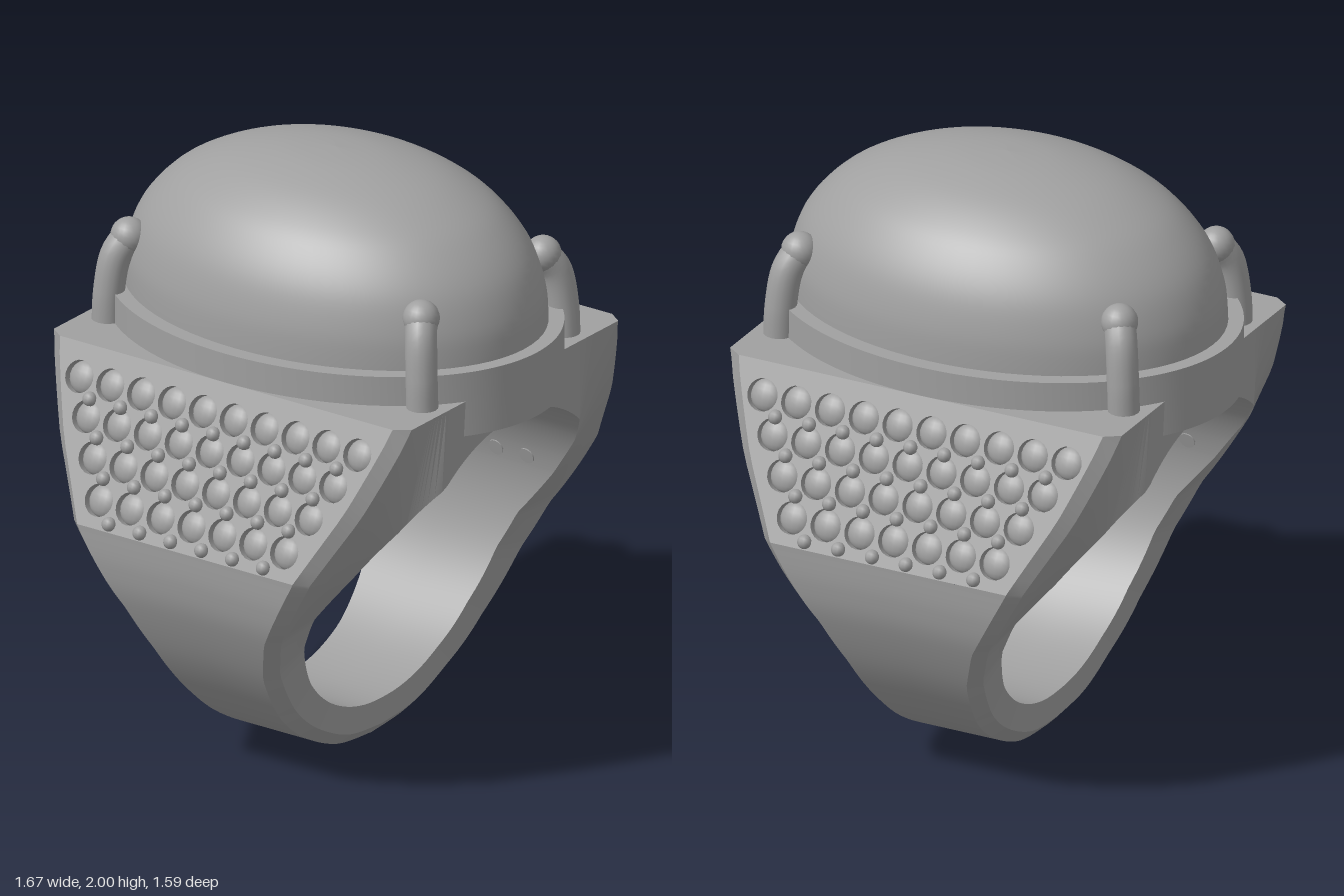
import * as THREE from 'three';
import { mergeGeometries, toCreasedNormals } from 'three/addons/utils/BufferGeometryUtils.js';

const CY = 0.685, R = 0.555;            // finger hole
const TOP = 1.38, BEVEL = 0.04;
const CUT_A = 0.46, CUT_B = 0.66;       // oval opening under the stone
const P = new THREE.Vector2(0.82, 0.86), Q = new THREE.Vector2(0.595, TOP); // flat shoulder line
const rad = THREE.MathUtils.degToRad;

// half width of the band against the angle around the finger hole
const WIDTHS = [[-90, 0.18], [-60, 0.19], [-40, 0.212], [-20, 0.255], [-7, 0.315], [11, 0.46], [30, 0.595], [49, 0.70], [90, 0.715]];
function halfWidth(x, y) {
  const a = THREE.MathUtils.radToDeg(Math.atan2(y - CY, x));
  for (let i = 1; i < WIDTHS.length; i++) {
    const [a0, w0] = WIDTHS[i - 1], [a1, w1] = WIDTHS[i];
    if (a <= a1) return w0 + (w1 - w0) * Math.max(0, (a - a0) / (a1 - a0));
  }
  return 0.715;
}

// one half cross-section: inner edge, inner corner, bevel, outer corner, outer edge
function section(xi, yi, xo, yo, bevel, cut, panel) {
  const wi = halfWidth(xi, yi), wo = bevel ? halfWidth(xo, yo) : 0.71;
  const k = 1 - bevel / Math.hypot(xo, yo - CY);
  return {
    panel, cut,
    pts: [[xi, yi, cut], [xi, yi, wi], [xo * k, CY + (yo - CY) * k, wo], [xo, yo, wo - bevel], [xo, yo, cut]],
  };
}

const PANEL_STEPS = 10;
const panelPoint = i => P.clone().lerp(Q, i / PANEL_STEPS);

function bandGeometry() {
  const sections = [];
  const curve = new THREE.SplineCurve([[0, 0], [0.2, 0.028], [0.4, 0.125], [0.55, 0.25], [0.68, 0.42], [0.775, 0.61], [0.81, 0.74], [0.82, 0.86]]
    .map(p => new THREE.Vector2(...p)));
  const endOuter = Math.atan2(Q.y - CY, Q.x), endInner = Math.acos(CUT_A / R), start = rad(20);
  const radial = (p, panel) => {
    let a = Math.atan2(p.y - CY, p.x);
    if (a > start) a = start + (a - start) / (endOuter - start) * (endInner - start);
    sections.push(section(R * Math.cos(a), CY + R * Math.sin(a), p.x, p.y, BEVEL, 0, panel));
  };
  for (let i = 0; i < 44; i++) radial(curve.getPoint(i / 44), false);
  for (let i = 0; i <= PANEL_STEPS; i++) radial(panelPoint(i), true);
  // flat top, opened by the oval
  const innerY = x => CY + Math.sqrt(R * R - x * x);
  sections.push(section(CUT_A, innerY(CUT_A), 0.56, TOP, 0, 0, false));
  for (let i = 0; i <= 20; i++) {
    const t = i / 20 * Math.PI / 2, x = CUT_A * Math.cos(t);
    sections.push(section(x, innerY(x), x, TOP, 0, CUT_B * Math.sin(t), false));
  }
  // four mirrored quarters
  const pos = [];
  for (const sx of [1, -1]) for (const sz of [1, -1]) {
    const tri = (a, b, c) => {
      for (const p of sx * sz > 0 ? [a, b, c] : [a, c, b]) pos.push(p[0] * sx, p[1], p[2] * sz);
    };
    for (let i = 0; i + 1 < sections.length; i++) {
      const s = sections[i], n = sections[i + 1];
      for (let j = 0; j < 5; j++) {
        if (j === 3 && s.panel && n.panel) continue;
        if (j === 4 && n.cut === 0) continue;
        const k = (j + 1) % 5;
        tri(s.pts[j], s.pts[k], n.pts[k]);
        tri(s.pts[j], n.pts[k], n.pts[j]);
      }
    }
  }
  const g = new THREE.BufferGeometry();
  g.setAttribute('position', new THREE.Float32BufferAttribute(pos, 3));
  return toCreasedNormals(g, 0.45);
}

function ellipse(a, b, Type = THREE.Shape) {
  const s = new Type();
  s.absellipse(0, 0, a, b, 0, Math.PI * 2, false, 0);
  return s;
}

// pierced shoulder panel with stones and beads, in its own flat frame
function shoulder(metal) {
  const group = new THREE.Group();
  const dir = Q.clone().sub(P).normalize();
  const ey = new THREE.Vector3(dir.x, dir.y, 0), ez = new THREE.Vector3(dir.y, -dir.x, 0);
  const frame = new THREE.Matrix4().makeBasis(new THREE.Vector3(0, 0, -1), ey, ez).setPosition(P.x, P.y, 0);
  const along = y => (y - P.y) / dir.y;
  const add = (geo, name) => {
    const m = new THREE.Mesh(geo, metal);
    m.name = name;
    group.add(m);
  };

  const right = [], left = [];
  for (let i = 0; i <= PANEL_STEPS; i++) {
    const p = panelPoint(i), w = halfWidth(p.x, p.y) - BEVEL, v = p.distanceTo(P);
    right.push(new THREE.Vector2(w, v));
    left.unshift(new THREE.Vector2(-w, v));
  }
  const shape = new THREE.Shape([...right, ...left]);
  const stones = [], beads = [], sockets = [], pitch = 0.1225;
  [[10, 1.28], [9, 1.172], [8, 1.06], [7, 0.945]].forEach(([count, y], row) => {
    for (let i = 0; i < count; i++) {
      const u = (i - (count - 1) / 2) * pitch, v = along(y);
      const hole = new THREE.Path();
      hole.absarc(u, v, 0.054, 0, Math.PI * 2, true);
      shape.holes.push(hole);
      stones.push(new THREE.SphereGeometry(0.056, 16, 10).scale(1, 1, 0.6).translate(u, v, -0.036));
      // seat opening on the finger side
      const o = new THREE.Vector2(P.x + dir.x * v, P.y + dir.y * v - CY);
      const b = o.x * ez.x + o.y * ez.y;
      const d = b - Math.sqrt(b * b - o.lengthSq() + R * R);
      const x = o.x - ez.x * d, h = o.y - ez.y * d;
      if (x > CUT_A + 0.03) {
        sockets.push(new THREE.CylinderGeometry(0.028, 0.028, 0.01, 14).rotateZ(Math.PI / 2)
          .rotateZ(Math.atan2(h, x)).translate(x, CY + h, -u));
      }
    }
    const beadY = [1.225, 1.12, 1.01, 0.885][row];
    for (let i = 0; i < count - 1; i++) {
      beads.push(new THREE.SphereGeometry(0.024, 10, 8).translate((i - (count - 2) / 2) * pitch, along(beadY), 0.004));
    }
  });
  const plate = new THREE.ExtrudeGeometry(shape, { depth: 0.06, bevelEnabled: false, curveSegments: 10 }).translate(0, 0, -0.06);
  add(toCreasedNormals(plate.applyMatrix4(frame), 0.7), 'shoulderPanel');
  add(mergeGeometries(stones).applyMatrix4(frame), 'smallStones');
  add(mergeGeometries(beads).applyMatrix4(frame), 'settingBeads');
  if (sockets.length) add(mergeGeometries(sockets), 'stoneSeats');
  return group;
}

export function createModel() {
  const model = new THREE.Group();
  const metal = new THREE.MeshStandardMaterial({ color: 0xa0a0a0 });
  metal.name = 'grey metal';
  const add = (geo, name) => {
    const m = new THREE.Mesh(geo, metal);
    m.name = name;
    model.add(m);
    return m;
  };

  add(bandGeometry(), 'band');

  // jewelled shoulders on both sides
  const leftShoulder = shoulder(metal);
  leftShoulder.name = 'leftShoulder';
  const rightShoulder = leftShoulder.clone();
  rightShoulder.name = 'rightShoulder';
  rightShoulder.rotation.y = Math.PI;
  model.add(leftShoulder, rightShoulder);

  // oval collar
  const collar = ellipse(0.595, 0.795);
  collar.holes.push(ellipse(0.5, 0.69, THREE.Path));
  const collarGeo = new THREE.ExtrudeGeometry(collar, { depth: 0.22, bevelEnabled: false, curveSegments: 64 });
  add(toCreasedNormals(collarGeo.rotateX(-Math.PI / 2).translate(0, 1.26, 0), 0.5), 'collar');

  // domed oval stone with a flat base
  const dome = new THREE.SplineCurve([[1, 1.37], [1, 1.5], [0.985, 1.6], [0.93, 1.71], [0.83, 1.805], [0.7, 1.88], [0.5, 1.947], [0.25, 1.988], [0, 2]]
    .map(p => new THREE.Vector2(...p))).getPoints(40);
  dome[dome.length - 1].set(0, 2);
  add(new THREE.LatheGeometry(dome, 72).scale(0.54, 1, 0.745), 'domedStone');
  add(new THREE.CircleGeometry(1, 64).rotateX(Math.PI / 2).scale(0.54, 1, 0.745).translate(0, 1.37, 0), 'stoneBase');

  // four claws bending over the stone
  for (const sx of [1, -1]) for (const sz of [1, -1]) {
    const path = new THREE.CatmullRomCurve3([[0.385, 1.36, 0.625], [0.383, 1.48, 0.62], [0.365, 1.6, 0.605], [0.33, 1.66, 0.58]]
      .map(([x, y, z]) => new THREE.Vector3(x * sx, y, z * sz)));
    add(new THREE.TubeGeometry(path, 16, 0.052, 16), 'claw');
    add(new THREE.SphereGeometry(0.06, 20, 14), 'clawTip').position.set(0.33 * sx, 1.66, 0.58 * sz);
  }
  return model;
}
